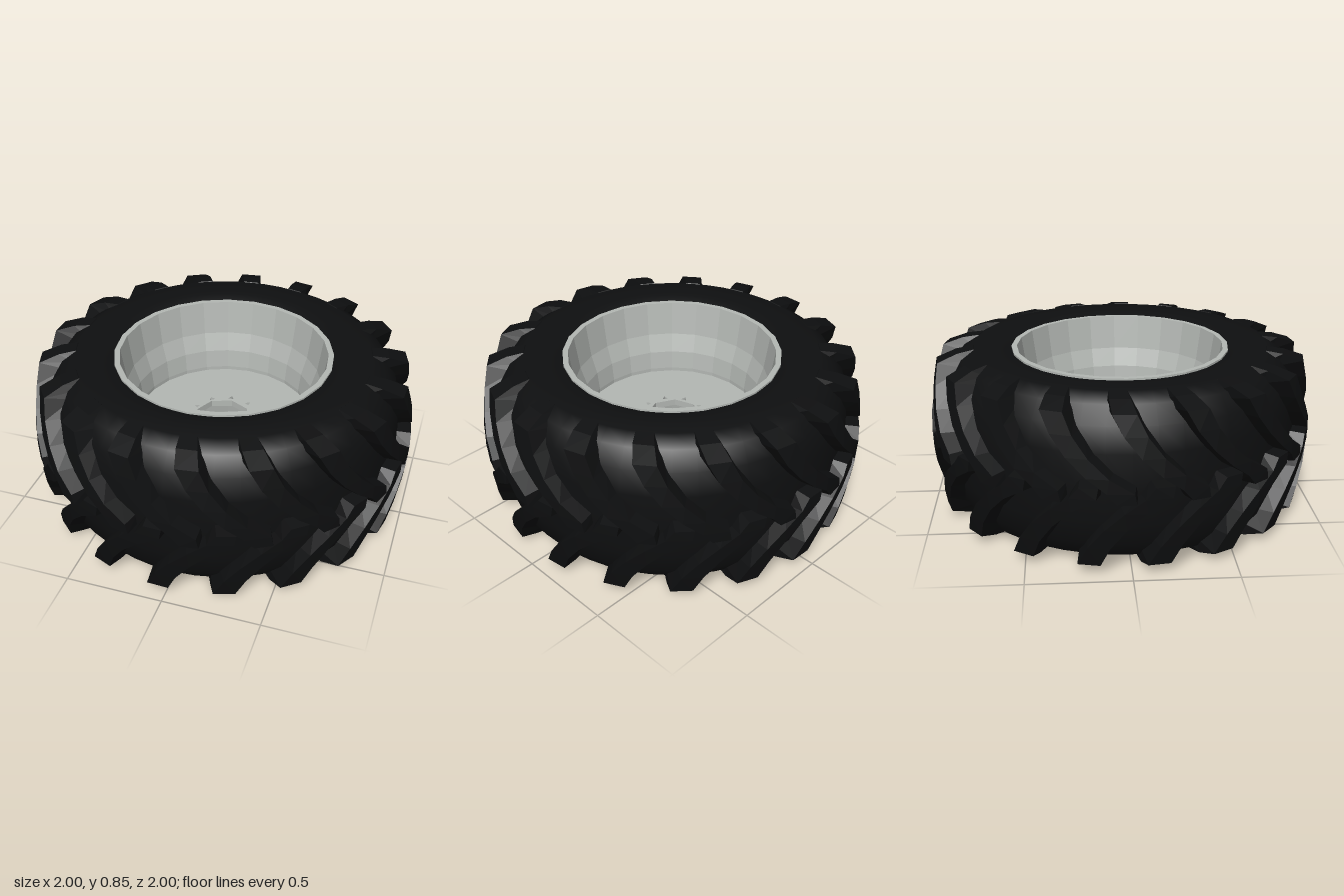
import * as THREE from 'three';

const HEIGHT = 0.85, LUGS = 18, DEG = Math.PI / 180;

// Lug cross-sections from the nose to the shoulder:
// angle, half width at crown and at base (degrees), crown r, y, base r, y
const LUG_SECTIONS = [
  [1.6, 2.6, 3.4, 0.998, 0.385, 0.90, 0.375],
  [0, 3.6, 4.6, 1.0, 0.44, 0.90, 0.45],
  [-6, 3.0, 4.3, 0.997, 0.51, 0.90, 0.51],
  [-11.5, 3.0, 4.3, 0.987, 0.60, 0.89, 0.60],
  [-16, 3.1, 4.4, 0.972, 0.70, 0.87, 0.70],
  [-19, 3.3, 4.7, 0.952, 0.80, 0.82, 0.77],
  [-20.3, 3.3, 4.7, 0.85, 0.836, 0.78, 0.80],
  [-21, 3.1, 4.3, 0.765, 0.849, 0.74, 0.82],
];

// Lofts one tread lug; the lower one is mirrored with its faces reversed
function lugGeometry(lower) {
  const pos = [], index = [];
  const corner = (deg, r, y) => pos.push(
    r * Math.sin(deg * DEG), lower ? HEIGHT - y : y, r * Math.cos(deg * DEG));
  const tri = (a, b, c) => (lower ? index.push(a, c, b) : index.push(a, b, c));
  const quad = (a, b, c, d) => { tri(a, b, c); tri(a, c, d); };
  for (const [a, crown, base, r1, y1, r0, y0] of LUG_SECTIONS) {
    corner(a - crown, r1, y1);
    corner(a + crown, r1, y1);
    corner(a + base, r0, y0);
    corner(a - base, r0, y0);
  }
  const last = (LUG_SECTIONS.length - 1) * 4;
  for (let i = 0; i < last; i += 4) {
    for (let k = 0; k < 4; k++) {
      const n = (k + 1) % 4;
      quad(i + k, i + n, i + 4 + n, i + 4 + k);
    }
  }
  quad(0, 3, 2, 1);
  quad(last, last + 1, last + 2, last + 3);
  const geo = new THREE.BufferGeometry();
  geo.setAttribute('position', new THREE.Float32BufferAttribute(pos, 3));
  geo.setIndex(index);
  geo.computeVertexNormals();
  return geo;
}

const profile = (points) => points.map(([r, y]) => new THREE.Vector2(r, y));

// Regular polygon hole path
function polygonHole(cx, cy, radius, sides, start) {
  const pts = [];
  for (let i = 0; i < sides; i++) {
    const a = start + (i / sides) * Math.PI * 2;
    pts.push(new THREE.Vector2(cx + radius * Math.cos(a), cy + radius * Math.sin(a)));
  }
  return new THREE.Path(pts);
}

export function createModel() {
  const model = new THREE.Group();
  model.name = 'tractorWheel';
  const rubber = new THREE.MeshStandardMaterial({ color: 0x0e0f10, flatShading: true });
  const smoothRubber = new THREE.MeshStandardMaterial({ color: 0x0e0f10 });
  const metal = new THREE.MeshStandardMaterial({
    color: 0xb4b8b4, flatShading: true, side: THREE.DoubleSide });
  const add = (name, geo, mat, parent = model) => {
    const mesh = new THREE.Mesh(geo, mat);
    mesh.name = name;
    parent.add(mesh);
    return mesh;
  };

  // Tyre body: half profile from the tread centre to the bead, mirrored below
  const half = [[0.928, 0.425], [0.92, 0.60], [0.893, 0.72], [0.835, 0.805],
    [0.765, 0.846], [0.62, 0.842], [0.56, 0.82]];
  const lowerHalf = half.slice(1).reverse().map(([r, y]) => [r, HEIGHT - y]);
  const tyre = [[0.56, 0.82], ...lowerHalf, ...half];
  add('tyreBody', new THREE.LatheGeometry(profile(tyre), 48), smoothRubber);

  // Two interleaved rows of curved tread lugs
  for (const lower of [false, true]) {
    const row = new THREE.Group();
    row.name = lower ? 'lowerTread' : 'upperTread';
    model.add(row);
    const geo = lugGeometry(lower);
    for (let i = 0; i < LUGS; i++) {
      const lug = add('treadLug', geo, rubber, row);
      lug.rotation.y = ((i + (lower ? 0.5 : 0)) * 360 / LUGS + 6.7) * DEG;
    }
  }

  // Stepped rim with a flange at each end
  const rim = [[0.568, 0.07], [0.568, 0.022], [0.54, 0.022], [0.536, 0.08], [0.515, 0.20],
    [0.49, 0.28], [0.467, 0.36], [0.467, 0.45], [0.48, 0.55], [0.513, 0.65],
    [0.54, 0.832], [0.568, 0.832], [0.568, 0.78]];
  add('rim', new THREE.LatheGeometry(profile(rim), 24), metal);

  // Wheel disc with a hub hole and a ring of bolt holes
  const disc = new THREE.Shape(polygonHole(0, 0, 0.467, 24, Math.PI / 2).getPoints());
  disc.holes.push(polygonHole(-0.01, 0, 0.147, 8, 1.5));
  for (let i = 0; i < 10; i++) {
    const a = (i * 36 + 22) * DEG;
    disc.holes.push(polygonHole(0.172 * Math.cos(a), 0.172 * Math.sin(a), 0.017, 3, a));
  }
  const discGeo = new THREE.ExtrudeGeometry(disc, { depth: 0.035, bevelEnabled: false });
  discGeo.rotateX(-Math.PI / 2);
  add('wheelDisc', discGeo, metal).position.y = 0.395;

  return model;
}
